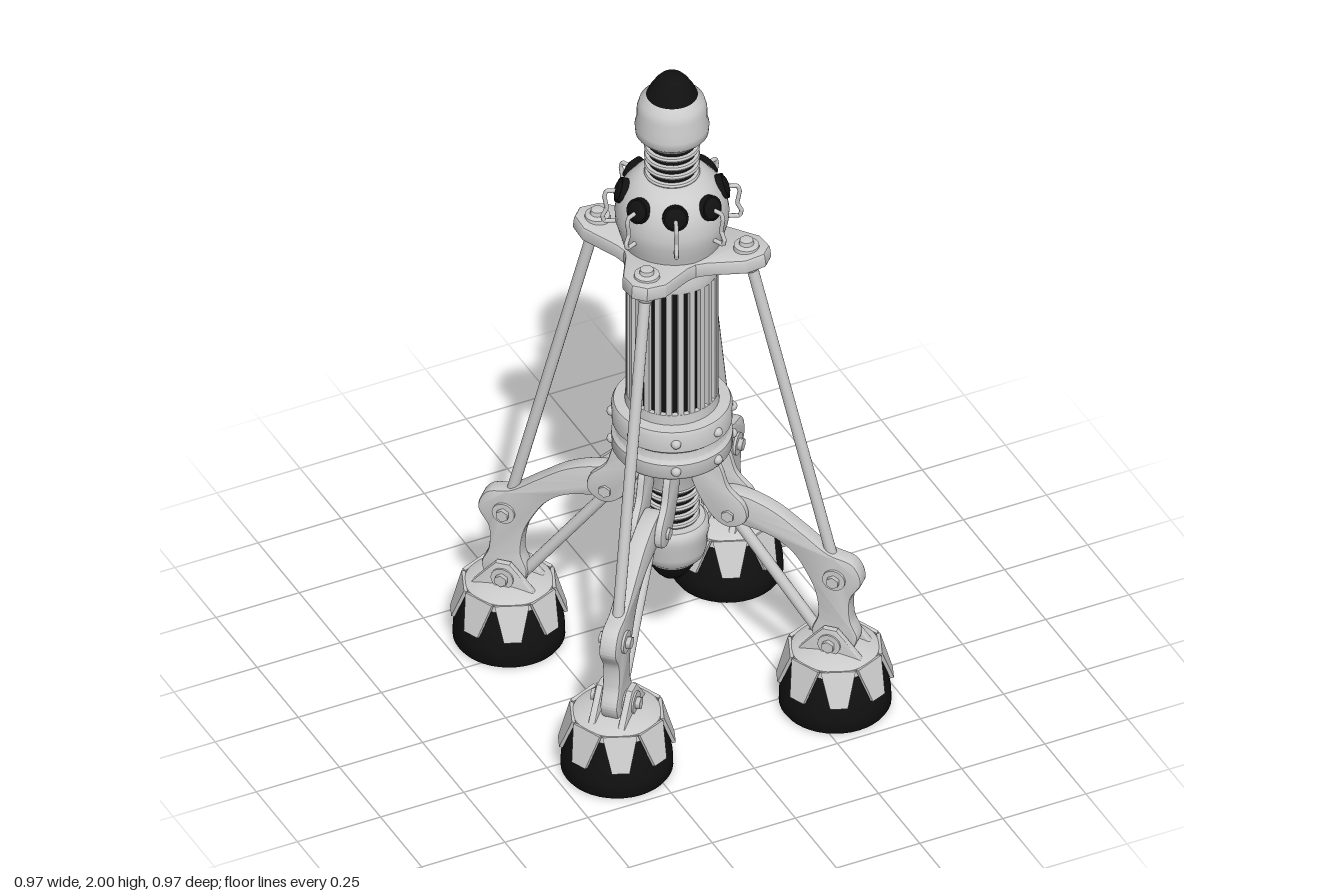
import * as THREE from 'three';
import { toCreasedNormals } from 'three/addons/utils/BufferGeometryUtils.js';

const grey = new THREE.MeshStandardMaterial({ color: 0xcccccc, side: THREE.DoubleSide });
const black = new THREE.MeshStandardMaterial({ color: 0x111111, side: THREE.DoubleSide });
const V = (x, y, z = 0) => new THREE.Vector3(x, y, z);

function add(parent, name, geo, mat = grey, x = 0, y = 0, z = 0) {
  const m = new THREE.Mesh(geo, mat);
  m.name = name;
  m.position.set(x, y, z);
  parent.add(m);
  return m;
}

function lathe(parent, name, pts, mat = grey) {
  const geo = new THREE.LatheGeometry(pts.map(p => new THREE.Vector2(...p)), 40);
  return add(parent, name, toCreasedNormals(geo, 0.7), mat);
}

// Plate cut in the radial (x, y) plane, centred on z
function plate(parent, name, pts, depth, z = 0, smooth = true) {
  const s = new THREE.Shape();
  s.moveTo(...pts[0]);
  const rest = [...pts.slice(1), pts[0]].map(p => new THREE.Vector2(...p));
  if (smooth) s.splineThru(rest); else rest.forEach(p => s.lineTo(p.x, p.y));
  const b = Math.min(0.008, depth * 0.3);
  const geo = new THREE.ExtrudeGeometry(s, {
    depth: depth - 2 * b, bevelThickness: b, bevelSize: b, bevelOffset: -b, bevelSegments: 2, curveSegments: 48,
  });
  geo.translate(0, 0, -depth / 2 + b);
  return add(parent, name, toCreasedNormals(geo, 0.6), grey, 0, 0, z);
}

function rod(parent, name, a, b, r) {
  const m = add(parent, name, new THREE.CylinderGeometry(r, r, a.distanceTo(b), 14));
  m.position.copy(a).lerp(b, 0.5);
  m.quaternion.setFromUnitVectors(V(0, 1, 0), b.clone().sub(a).normalize());
  return m;
}

// Copies of a part turned about the vertical axis
function ring(parent, name, n, offset, build) {
  for (let i = 0; i < n; i++) {
    const g = new THREE.Group();
    g.name = name;
    g.rotation.y = offset + (i * 2 * Math.PI) / n;
    build(g);
    parent.add(g);
  }
}

// Banded neck, cap and dark tip; used upright and upside down
function endCap(name) {
  const g = new THREE.Group();
  g.name = name;
  add(g, 'neckCore', new THREE.CylinderGeometry(0.064, 0.064, 0.16, 32), black, 0, 0.07);
  for (let i = 0; i < 5; i++) {
    lathe(g, 'neckRing', [[0.06, 0], [0.073, 0.002], [0.076, 0.008], [0.073, 0.014], [0.06, 0.016]])
      .position.y = i * 0.029;
  }
  lathe(g, 'cap', [[0, 0.135], [0.09, 0.135], [0.099, 0.145], [0.101, 0.17], [0.096, 0.19],
    [0.095, 0.225], [0.088, 0.25], [0.07, 0.268]]);
  lathe(g, 'tip', [[0.07, 0.267], [0.062, 0.285], [0.045, 0.312], [0.032, 0.326], [0.015, 0.331], [0, 0.332]], black);
  return g;
}

function buildFoot(g) {
  const foot = new THREE.Group();
  foot.name = 'foot';
  foot.position.x = 0.464;
  foot.rotation.y = Math.PI / 4;
  g.add(foot);
  lathe(foot, 'footPad', [[0, 0], [0.145, 0], [0.152, 0.01], [0.151, 0.05], [0.143, 0.1], [0.128, 0.15],
    [0.11, 0.18], [0, 0.185]], black);
  lathe(foot, 'footCover', [[0.124, 0.165], [0.12, 0.188], [0.1, 0.197], [0.05, 0.208], [0, 0.21]]);
  // Tapering plates flaring down over the pad
  ring(foot, 'footTooth', 8, Math.PI / 8, t => {
    const s = new THREE.Shape([[-0.047, 0], [-0.024, -0.105], [0.024, -0.105], [0.047, 0]]
      .map(p => new THREE.Vector2(...p)));
    const m = add(t, 'toothPlate', new THREE.ExtrudeGeometry(s, { depth: 0.01, bevelEnabled: false }), grey, 0, 0.188, 0.115);
    m.rotation.x = -0.32;
  });
}

function buildLeg(g) {
  buildFoot(g);
  // Arched thigh running into the shin
  plate(g, 'legArm', [[0.13, 0.6], [0.15, 0.645], [0.22, 0.645], [0.3, 0.615], [0.38, 0.56], [0.45, 0.51],
    [0.52, 0.488], [0.545, 0.43], [0.515, 0.37], [0.515, 0.3], [0.535, 0.24], [0.5, 0.185], [0.43, 0.185],
    [0.405, 0.24], [0.422, 0.3], [0.415, 0.37], [0.39, 0.43], [0.35, 0.49], [0.29, 0.53], [0.2, 0.55],
    [0.15, 0.56]], 0.05);
  for (const s of [-1, 1]) {
    plate(g, 'hipLug', [[0.05, 0.76], [0.14, 0.76], [0.175, 0.68], [0.22, 0.63], [0.225, 0.58], [0.18, 0.55],
      [0.13, 0.575], [0.08, 0.66]], 0.022, s * 0.036);
    plate(g, 'ankleLug', [[0.37, 0.19], [0.42, 0.25], [0.445, 0.278], [0.485, 0.278], [0.51, 0.25], [0.56, 0.19]],
      0.02, s * 0.042, false);
  }
  // Pivot bolts through hip, knee and ankle
  for (const [x, y, w] of [[0.175, 0.59, 0.11], [0.47, 0.43, 0.09], [0.465, 0.23, 0.14]]) {
    add(g, 'pivotPin', new THREE.CylinderGeometry(0.018, 0.018, w, 6), grey, x, y).rotation.x = Math.PI / 2;
    add(g, 'pivotWasher', new THREE.CylinderGeometry(0.032, 0.032, w - 0.026, 20), grey, x, y).rotation.x = Math.PI / 2;
  }
  rod(g, 'stayRod', V(0.222, 1.43), V(0.455, 0.49), 0.016);
  rod(g, 'lowerStrut', V(0.13, 0.62), V(0.44, 0.2), 0.016);
}

// Flared bracket holding the top of each stay rod
function buildBracket(g) {
  const b = plate(g, 'bracketPlate', [[0.07, -0.12], [0.13, -0.09], [0.235, -0.062], [0.275, -0.022],
    [0.275, 0.022], [0.235, 0.062], [0.13, 0.09], [0.07, 0.12]].map(([x, z]) => [x, -z]).reverse(), 0.045, 0, false);
  b.rotation.set(-Math.PI / 2, 0, 0);
  b.rotation.y = -0.12;
  b.position.y = 1.422;
  lathe(g, 'bracketBolt', [[0.036, 0], [0.034, 0.018], [0.02, 0.022], [0.018, 0.034], [0, 0.038]])
    .position.set(0.212, 1.462, 0);
  add(g, 'rodSocket', new THREE.SphereGeometry(0.028, 16, 12), grey, 0.222, 1.42);
}

// Dark porthole with its bent handle
function buildPort(g) {
  const lens = new THREE.Group();
  lens.name = 'porthole';
  lens.position.set(0.128, 1.615, 0);
  lens.rotation.z = -Math.PI / 2 + 0.35;
  g.add(lens);
  add(lens, 'portRim', new THREE.CylinderGeometry(0.035, 0.037, 0.036, 20), black);
  add(lens, 'portGlass', new THREE.SphereGeometry(0.032, 18, 10), black, 0, 0.014).scale.y = 0.4;
  const pts = [[0.14, 1.618], [0.178, 1.618], [0.183, 1.6], [0.176, 1.56], [0.188, 1.535], [0.184, 1.518], [0.14, 1.518]];
  const path = new THREE.CurvePath();
  for (let i = 1; i < pts.length; i++) path.add(new THREE.LineCurve3(V(...pts[i - 1]), V(...pts[i])));
  add(g, 'handle', new THREE.TubeGeometry(path, 36, 0.006, 8));
}

export function createModel() {
  const model = new THREE.Group();
  model.name = 'lander';

  // Nose and underside engine share one form
  const nose = endCap('nose');
  nose.position.y = 1.668;
  const tail = endCap('tail');
  tail.position.y = 0.652;
  tail.rotation.x = Math.PI;
  model.add(nose, tail);

  // Domed cabin with portholes
  lathe(model, 'cabin', [[0, 1.38], [0.115, 1.38], [0.128, 1.43], [0.142, 1.48], [0.153, 1.52], [0.155, 1.55],
    [0.148, 1.59], [0.135, 1.625], [0.11, 1.655], [0.085, 1.672], [0, 1.672]]);
  ring(model, 'port', 8, Math.PI / 8, buildPort);
  ring(model, 'bracket', 4, Math.PI / 4, buildBracket);

  // Ribbed column
  add(model, 'columnCore', new THREE.CylinderGeometry(0.112, 0.112, 0.46, 40), black, 0, 1.15);
  ring(model, 'columnRib', 24, 0, g => add(g, 'rib', new THREE.BoxGeometry(0.024, 0.45, 0.016), grey, 0.113, 1.15));
  lathe(model, 'columnTop', [[0.1, 1.352], [0.126, 1.352], [0.128, 1.375], [0.12, 1.402], [0, 1.402]]);

  // Double bolted belt and the tapering skirt under it
  lathe(model, 'belt', [[0, 0.745], [0.135, 0.745], [0.158, 0.755], [0.164, 0.765], [0.164, 0.805], [0.154, 0.815],
    [0.152, 0.838], [0.163, 0.848], [0.164, 0.9], [0.158, 0.912], [0.128, 0.915], [0.126, 0.945], [0, 0.945]]);
  for (const y of [0.785, 0.877]) {
    ring(model, 'beltBolt', 8, Math.PI / 8, g =>
      add(g, 'bolt', new THREE.SphereGeometry(0.014, 12, 8), grey, 0.163, y));
  }
  lathe(model, 'skirt', [[0, 0.64], [0.072, 0.64], [0.078, 0.67], [0.11, 0.75], [0, 0.75]]);

  ring(model, 'leg', 4, Math.PI / 4, buildLeg);
  return model;
}
